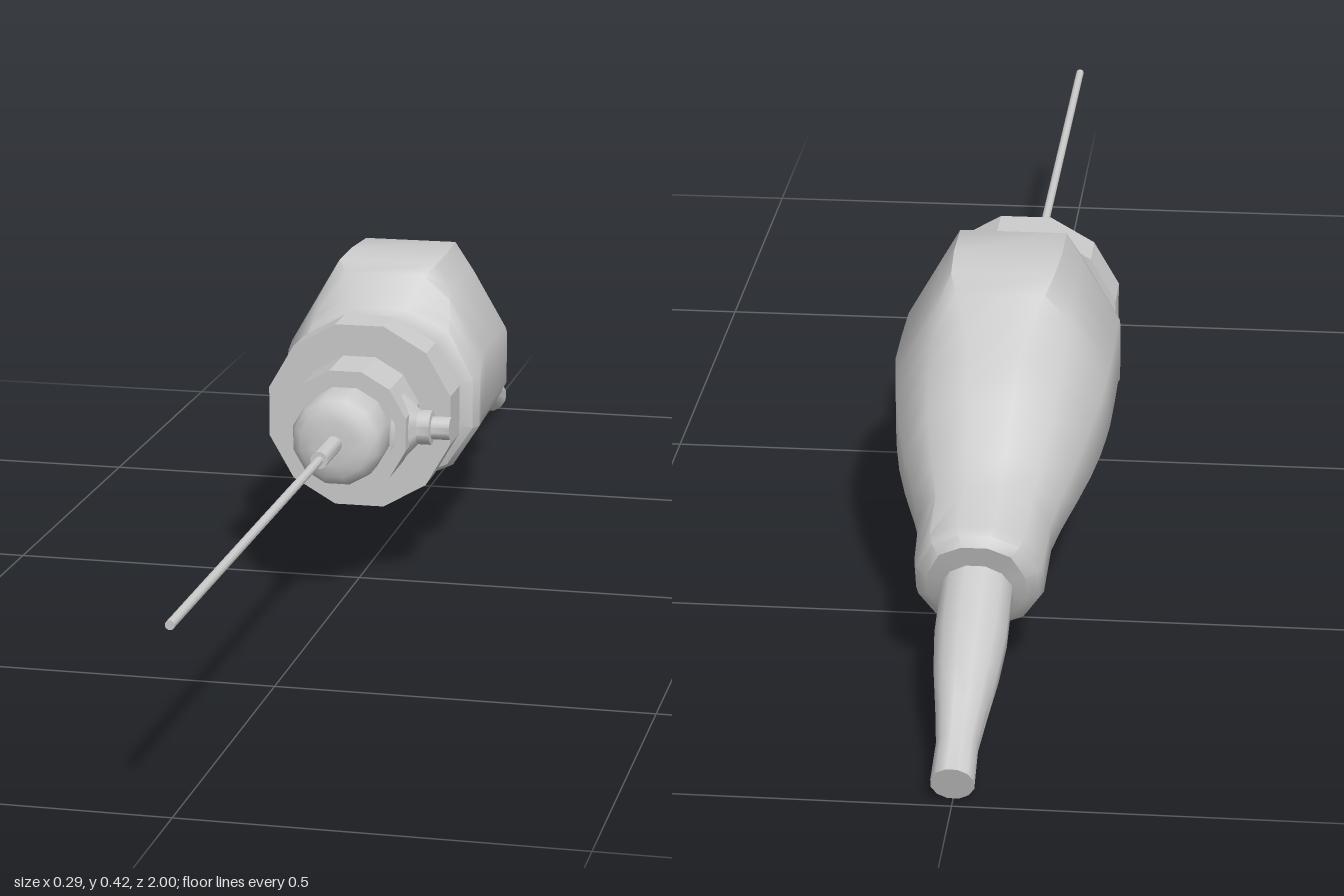
import * as THREE from 'three';
import { toCreasedNormals } from 'three/addons/utils/BufferGeometryUtils.js';

const AXIS_Y = 0.24;

function part(name, geometry, flatShading = false) {
  const material = new THREE.MeshStandardMaterial({ color: 0xcccccc, flatShading });
  const mesh = new THREE.Mesh(flatShading ? geometry : toCreasedNormals(geometry, 0.75), material);
  mesh.name = name;
  return mesh;
}

// Turned part with [radius, position] points, running along +y
function turned(points, sides) {
  return new THREE.LatheGeometry(points.map(([r, h]) => new THREE.Vector2(r, h)), sides, Math.PI / sides);
}

// Turned part laid along the main axis, towards +z
function axial(name, points, sides = 12, flat = false) {
  const mesh = part(name, turned(points, sides).rotateX(Math.PI / 2), flat);
  mesh.position.y = AXIS_Y;
  return mesh;
}

// Closed drum profile between two positions
const drum = (r, a, b) => [[0, a], [r, a], [r, b], [0, b]];

// Handle: loft of twelve-sided sections, leaning back towards the tail
// [z, bottom y, top y, half width, shoulder half width, crown ratio, lean]
function handleGeometry() {
  const sections = [
    [-0.125, 0.135, 0.34, 0.115, 0.085, 0.37, 0],
    [-0.135, 0.112, 0.365, 0.136, 0.1, 0.37, 0],
    [-0.152, 0.105, 0.378, 0.143, 0.1, 0.45, 0],
    [-0.168, 0.105, 0.408, 0.143, 0.095, 0.6, 0],
    [-0.19, 0.105, 0.422, 0.143, 0.092, 0.78, 0],
    [-0.27, 0.105, 0.423, 0.143, 0.092, 0.78, 0],
    [-0.345, 0.105, 0.422, 0.142, 0.09, 0.75, 0],
    [-0.375, 0.105, 0.406, 0.139, 0.09, 0.65, 0],
    [-0.41, 0.105, 0.382, 0.134, 0.088, 0.5, 0],
    [-0.46, 0.105, 0.356, 0.125, 0.085, 0.4, 0.03],
    [-0.51, 0.106, 0.318, 0.112, 0.08, 0.37, 0.1],
    [-0.555, 0.101, 0.268, 0.095, 0.069, 0.37, 0.22],
    [-0.59, 0.092, 0.24, 0.084, 0.061, 0.37, 0.33],
    [-0.665, 0.066, 0.226, 0.081, 0.059, 0.37, 0.36],
    [-0.684, 0.07, 0.22, 0.076, 0.055, 0.37, 0.36],
    [-0.697, 0.085, 0.207, 0.062, 0.045, 0.37, 0.36],
  ];
  const n = 12, pos = [], index = [];
  for (const [z, yb, yt, w, wt, crown, lean] of sections) {
    const half = [[0.27 * w, 0], [0.73 * w, 0.11], [w, 0.33], [w, 0.61], [wt, 0.89], [wt * crown, 1]];
    const ring = [...half, ...half.map(([x, f]) => [-x, f]).reverse()];
    for (const [x, f] of ring) pos.push(x, yb + f * (yt - yb), z - lean * (f - 0.5) * (yt - yb));
  }
  for (let s = 0; s < sections.length - 1; s++) {
    for (let i = 0; i < n; i++) {
      const a = s * n + i, b = s * n + (i + 1) % n;
      index.push(a, a + n, b, b, a + n, b + n);
    }
  }
  // End caps
  const last = sections.length - 1;
  for (const s of [0, last]) {
    const [z, yb, yt] = sections[s];
    const c = pos.length / 3;
    pos.push(0, (yb + yt) / 2, z);
    for (let i = 0; i < n; i++) {
      const a = s * n + i, b = s * n + (i + 1) % n;
      if (s === 0) index.push(c, a, b);
      else index.push(c, b, a);
    }
  }
  const g = new THREE.BufferGeometry();
  g.setAttribute('position', new THREE.Float32BufferAttribute(pos, 3));
  g.setIndex(index);
  g.computeVertexNormals();
  return g;
}

export function createModel() {
  const model = new THREE.Group();
  model.name = 'needleHandpiece';

  model.add(part('handle', handleGeometry()));

  // Stack of collars in front of the handle
  model.add(axial('neckCollar', drum(0.089, -0.14, 0.09), 12, true));
  model.add(axial('flange', drum(0.135, -0.065, 0), 12, true));
  model.add(axial('noseCap', [
    [0, 0.08], [0.065, 0.08], [0.065, 0.135], [0.06, 0.149], [0.049, 0.158], [0.03, 0.161], [0, 0.162],
  ]));

  // Needle and its sleeve
  model.add(axial('needleSleeve', drum(0.012, 0.15, 0.247)));
  model.add(axial('needle', drum(0.006, 0.24, 1)));

  // Side port on the left
  const port = part('sidePort', turned([
    [0, 0.06], [0.055, 0.066], [0.026, 0.093], [0.024, 0.095], [0.024, 0.113],
    [0.016, 0.114], [0.016, 0.14], [0, 0.14],
  ], 12).rotateZ(-Math.PI / 2));
  port.position.set(0, AXIS_Y, 0.042);
  model.add(port);

  // Tapered cable boot sloping down at the back
  const start = new THREE.Vector3(0, 0.155, -0.64);
  const run = new THREE.Vector3(0, 0.027, -0.99).sub(start);
  const length = run.length();
  const boot = part('cableBoot', turned([
    [0, 0], [0.046, 0], [0.046, 0.14], [0.041, 0.2], [0.032, 0.265], [0.026, 0.315], [0.027, length], [0, length],
  ], 12));
  boot.position.copy(start);
  boot.quaternion.setFromUnitVectors(new THREE.Vector3(0, 1, 0), run.normalize());
  model.add(boot);

  return model;
}
